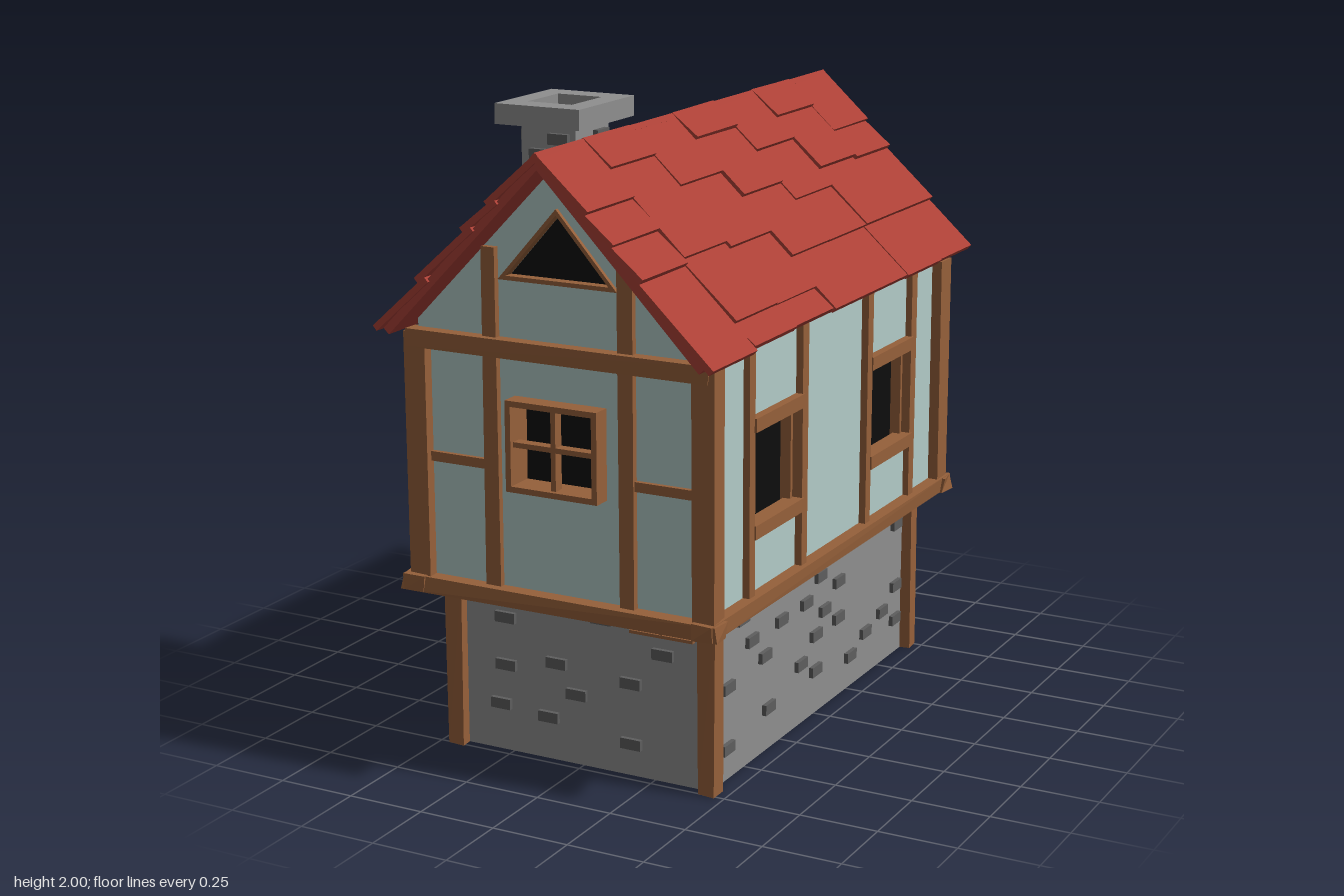
import * as THREE from 'three';

const paint = (color, opts = {}) => new THREE.MeshStandardMaterial({ color, flatShading: true, ...opts });
const STONE = paint(0x8f8f8f), BRICK = paint(0x5e5e5e), WOOD = paint(0x96603a), DARKWOOD = paint(0x6b4526);
const PLASTER = paint(0xb2cbc8), RED = paint(0xab4036), BLACK = paint(0x0d0d0d);

let seed = 7;
const rand = () => (seed = (seed * 16807) % 2147483647) / 2147483647;

function add(parent, name, geo, mat) {
  const mesh = new THREE.Mesh(geo, mat);
  mesh.name = name;
  parent.add(mesh);
  return mesh;
}

// Box given by its limits; "rough" shifts the corners for a hand-cut look
function block(parent, name, mat, [x0, x1], [y0, y1], [z0, z1], rough = 0) {
  const geo = new THREE.BoxGeometry(x1 - x0, y1 - y0, z1 - z0);
  geo.translate((x0 + x1) / 2, (y0 + y1) / 2, (z0 + z1) / 2);
  const p = geo.attributes.position;
  for (let i = 0; rough && i < p.count; i++) {
    const k = p.getX(i) * 91 + p.getY(i) * 57 + p.getZ(i) * 133;
    p.setXYZ(i, p.getX(i) + rough * Math.sin(k), p.getY(i), p.getZ(i) + rough * Math.cos(k * 1.7));
  }
  geo.computeVertexNormals();
  return add(parent, name, geo, mat);
}

const poly = (pts) => new THREE.Shape(pts.map(([x, y]) => new THREE.Vector2(x, y)));
const rect = (x0, x1, y0, y1) => poly([[x0, y0], [x1, y0], [x1, y1], [x0, y1]]);

// Flat panel with holes, lying between z0 and z1
function panel(parent, name, mat, outline, holes, z0, z1) {
  outline.holes = holes;
  const geo = new THREE.ExtrudeGeometry(outline, { depth: z1 - z0, bevelEnabled: false });
  return add(parent, name, geo.translate(0, 0, z0), mat);
}

// A side of the house: local +z points outwards
function facade(parent, name, angle) {
  const g = new THREE.Group();
  g.name = name;
  g.rotation.y = angle;
  parent.add(g);
  return g;
}

function bricks(parent, list, w) {
  for (const [u, y] of list)
    block(parent, 'brick', BRICK, [u - 0.035, u + 0.035], [y - 0.017, y + 0.017], [w - 0.02, w + 0.014]);
}

// Gable end with attic window and timber framing
function gableEnd(g, isFront) {
  const tri = (s) => poly([[-0.2 + s * 2.1, 1.535 + s], [0.2 - s * 2.1, 1.535 + s], [0, 1.76 - s * 1.4]]);
  const holes = [tri(0.006)];
  if (isFront) holes.push(rect(-0.14, 0.14, 0.92, 1.17));
  panel(g, 'gableWall', PLASTER, poly([[-0.49, 0.54], [0.49, 0.54], [0.49, 1.385], [0, 1.89], [-0.49, 1.385]]), holes, 0.79, 0.835);
  panel(g, 'atticWindowFrame', WOOD, tri(0), [tri(0.013)], 0.815, 0.848);
  panel(g, 'atticWindowPane', BLACK, tri(0), [], 0.78, 0.792);
  for (const s of [-1, 1]) {
    block(g, 'gableStud', WOOD, [s * 0.23 - 0.025, s * 0.23 + 0.025], [0.58, 1.63], [0.81, 0.855], 0.002);
    if (isFront) block(g, 'rail', WOOD, [s * 0.35 - 0.12, s * 0.35 + 0.12], [0.95, 0.98], [0.81, 0.85]);
  }
  block(g, 'tieBeam', WOOD, [-0.51, 0.51], [1.305, 1.36], [0.82, 0.875], 0.003);
  block(g, 'floorBeam', WOOD, [-0.54, 0.54], [0.538, 0.588], [0.815, 0.885], 0.005);
  if (!isFront) return;
  panel(g, 'windowFrame', WOOD, rect(-0.155, 0.155, 0.905, 1.185), [rect(-0.137, 0.137, 0.923, 1.167)], 0.8, 0.895);
  block(g, 'windowBar', WOOD, [-0.008, 0.008], [0.915, 1.175], [0.845, 0.88]);
  block(g, 'windowBar', WOOD, [-0.145, 0.145], [1.04, 1.056], [0.845, 0.88]);
  block(g, 'windowPane', BLACK, [-0.15, 0.15], [0.91, 1.18], [0.78, 0.8]);
}

// Long wall with two framed windows
function longWall(g) {
  const holes = [-1, 1].map((s) => rect(s * 0.418 - 0.165, s * 0.418 + 0.165, 0.79, 1.11));
  panel(g, 'sideWall', PLASTER, rect(-0.835, 0.835, 0.54, 1.375), holes, 0.445, 0.49);
  for (const s of [-1, 1]) {
    const c = s * 0.418;
    for (const e of [-1, 1]) {
      const u = c + e * 0.178;
      block(g, 'stud', WOOD, [u - 0.02, u + 0.02], [0.58, 1.37], [0.46, 0.512], 0.002);
      block(g, 'windowJamb', WOOD, [c + e * 0.142 - 0.007, c + e * 0.142 + 0.007], [0.8, 1.1], [0.45, 0.485]);
    }
    for (const y of [0.765, 1.095])
      block(g, 'windowRail', WOOD, [c - 0.165, c + 0.165], [y, y + 0.043], [0.46, 0.518]);
    block(g, 'windowPane', BLACK, [c - 0.18, c + 0.18], [0.77, 1.13], [0.42, 0.447]);
  }
  block(g, 'floorBeam', WOOD, [-0.89, 0.89], [0.54, 0.59], [0.46, 0.532], 0.004);
}

// Opening outline with a round head
function arch(c, half, y0, spring) {
  const s = new THREE.Shape();
  s.moveTo(c - half, y0);
  s.lineTo(c + half, y0);
  s.lineTo(c + half, spring);
  s.absarc(c, spring, half, 0, Math.PI, false);
  return s;
}

// Rough stones around an arched opening
function archStones(g, c, half, y0, spring, size, w) {
  const stone = (u, y, turn, len) => {
    const m = add(g, 'archStone', new THREE.BoxGeometry(size, len, 0.06), BRICK);
    m.position.set(u, y, w + rand() * 0.008);
    m.rotation.z = turn;
  };
  const r = half + size * 0.4, n = 7, rows = Math.max(1, Math.round((spring - y0) / 0.07));
  for (let i = 0; i < n; i++) {
    const a = ((i + 0.5) / n) * Math.PI;
    stone(c + r * Math.cos(a), spring + r * Math.sin(a), a, (r * Math.PI / n) * 1.08);
  }
  const h = (spring - y0) / rows;
  for (let i = 0; i < rows; i++)
    for (const s of [-1, 1]) stone(c + s * r, y0 + h * (i + 0.5), 0, h * 0.94);
}

// One roof slope: a thin slab covered with seven columns of overlapping tiles
function roofSlope(parent, angle) {
  const side = facade(parent, 'roofSlope', angle);
  const slope = new THREE.Group();
  slope.position.y = 1.925;
  slope.rotation.z = -Math.atan(1.03);
  side.add(slope);
  block(slope, 'roofSlab', RED, [0, 0.77], [-0.025, 0], [-0.95, 0.95]);
  const edges = [
    [0.22, 0.34, 0.47], [0.11, 0.45, 0.69], [0.23, 0.47, 0.69], [0.1, 0.33, 0.57],
    [0.2, 0.4, 0.57], [0.11, 0.33, 0.57], [0.22, 0.34, 0.57],
  ];
  edges.forEach((col, i) => {
    const z = 0.823 - i * 0.2743;
    const ends = [...col, 0.775 + rand() * 0.02];
    ends.forEach((end, j) => {
      const start = j ? ends[j - 1] - 0.03 : -0.012;
      const len = end - start, lift = 0.012 + rand() * 0.007;
      const tile = add(slope, 'roofTile', new THREE.BoxGeometry(len, 0.02, 0.274), RED);
      tile.position.set((start + end) / 2, lift / 2 + (i % 2) * 0.003, z);
      tile.rotation.set((rand() - 0.5) * 0.02, 0, Math.atan(lift / len));
    });
  });
}

function chimney(parent) {
  const g = new THREE.Group();
  g.name = 'chimney';
  g.position.set(-0.238, 0, 0.383);
  parent.add(g);
  const ring = (name, w, d, iw, id, y0, y1) =>
    panel(g, name, STONE, rect(-w, w, -d, d), [rect(-iw, iw, -id, id)], y0, y1).rotation.x = -Math.PI / 2;
  ring('chimneyShaft', 0.095, 0.1, 0.07, 0.075, 1.5, 1.95);
  block(g, 'flueFloor', STONE, [-0.08, 0.08], [1.7, 1.72], [-0.085, 0.085]);
  ring('chimneyCap', 0.147, 0.168, 0.077, 0.09, 1.937, 2.0);
  for (let k = 0; k < 4; k++) {
    const face = facade(g, 'chimneyFace', k * Math.PI / 2);
    bricks(face, [[0.04, 1.895], [-0.025, 1.845], [0.03, 1.74], [-0.045, 1.645]], k % 2 ? 0.098 : 0.103);
  }
}

export function createModel() {
  const house = new THREE.Group();
  house.name = 'house';

  // Stone ground floor and overhanging floor slab
  block(house, 'stoneBase', STONE, [-0.44, 0.44], [0, 0.56], [-0.72, 0.72]);
  block(house, 'floorSlab', WOOD, [-0.49, 0.49], [0.545, 0.58], [-0.835, 0.835]);
  for (const sx of [-1, 1]) for (const sz of [-1, 1]) {
    const around = (c, h) => [c - h, c + h];
    block(house, 'basePost', WOOD, around(sx * 0.443, 0.03), [0, 0.55], around(sz * 0.728, 0.03), 0.004);
    block(house, 'cornerPost', WOOD, around(sx * 0.486, 0.037), [0.58, 1.35], around(sz * 0.83, 0.038), 0.006);
  }

  const front = facade(house, 'front', 0), back = facade(house, 'back', Math.PI);
  const left = facade(house, 'leftSide', Math.PI / 2), right = facade(house, 'rightSide', -Math.PI / 2);
  gableEnd(front, true);
  gableEnd(back, false);
  longWall(left);
  longWall(right);

  // Cellar vent
  block(front, 'ventOpening', BLACK, [0.175, 0.38], [0.465, 0.52], [0.7, 0.724]);
  for (const y of [0.465, 0.488, 0.511])
    block(front, 'ventSlat', WOOD, [0.17, 0.385], [y, y + 0.01], [0.71, 0.735]);
  block(front, 'ventBar', WOOD, [0.272, 0.282], [0.465, 0.52], [0.71, 0.733]);

  // Scattered bricks
  bricks(front, [[-0.27, 0.44], [-0.27, 0.285], [-0.09, 0.32], [-0.02, 0.23], [-0.29, 0.155], [-0.12, 0.14],
    [0.07, 0.49], [0.28, 0.41], [0.17, 0.3], [0.17, 0.105]], 0.72);
  bricks(back, [[-0.26, 0.42], [-0.33, 0.2], [-0.16, 0.14], [-0.05, 0.34], [0.28, 0.43], [0.18, 0.32], [0.11, 0.08]], 0.72);
  bricks(left, [[-0.525, 0.49], [-0.46, 0.4], [-0.62, 0.3], [-0.37, 0.32], [-0.255, 0.4], [-0.62, 0.105], [-0.34, 0.14],
    [-0.11, 0.205], [0, 0.15], [0, 0.27], [0.065, 0.335], [-0.075, 0.4], [0.03, 0.46], [0.17, 0.4], [0.17, 0.275],
    [0.27, 0.11], [0.39, 0.155], [0.525, 0.185], [0.635, 0.245], [0.635, 0.125], [0.635, 0.465]], 0.44);
  bricks(right, [[-0.6, 0.15], [-0.65, 0.41], [-0.55, 0.28], [-0.4, 0.12], [-0.19, 0.2], [-0.12, 0.35], [-0.05, 0.43],
    [0.02, 0.27], [0.08, 0.12], [0.12, 0.4], [0.63, 0.4], [0.64, 0.25], [-0.3, 0.47], [-0.52, 0.46], [-0.15, 0.1]], 0.44);

  // Arched door with planks, and arched cellar window
  archStones(right, 0.38, 0.12, 0, 0.29, 0.045, 0.445);
  panel(right, 'door', DARKWOOD, arch(0.38, 0.12, 0, 0.29), [], 0.43, 0.448);
  for (let i = 0; i < 5; i++) {
    const u = 0.38 + (i - 2) * 0.046;
    block(right, 'doorPlank', WOOD, [u - 0.02, u + 0.02], [0.005, 0.395 - Math.abs(i - 2) * 0.03], [0.44, 0.456]);
  }
  for (const y of [0.08, 0.27]) block(right, 'doorBrace', DARKWOOD, [0.27, 0.49], [y, y + 0.02], [0.44, 0.462]);
  archStones(right, -0.38, 0.065, 0.22, 0.3, 0.035, 0.445);
  block(right, 'cellarWindowSill', BRICK, [-0.48, -0.28], [0.195, 0.222], [0.42, 0.48]);
  panel(right, 'cellarWindowPane', BLACK, arch(-0.38, 0.065, 0.22, 0.3), [], 0.43, 0.445);

  roofSlope(house, 0);
  roofSlope(house, Math.PI);
  chimney(house);
  return house;
}
